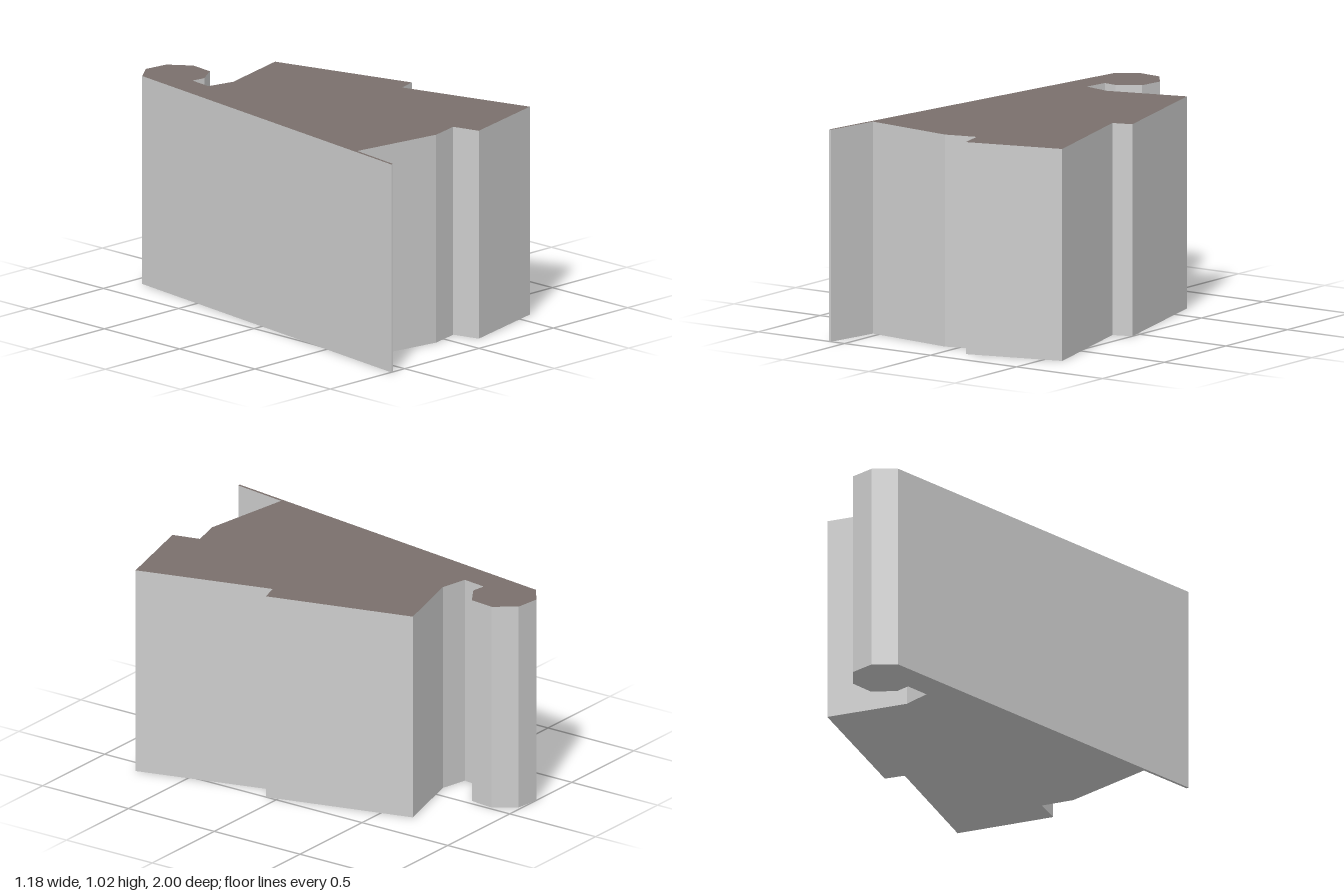
import * as THREE from 'three';

export function createModel() {
  const wallGrey = new THREE.MeshStandardMaterial({ color: 0xcccccc });
  wallGrey.name = 'wallGrey';
  const roofBrown = new THREE.MeshStandardMaterial({ color: 0x7a706c });
  roofBrown.name = 'roofBrown';

  const height = 1.02;
  // Footprint corners as [x, z], starting at the tip of the thin front fin
  const footprint = [
    [-0.59, 1.0], [-0.577, 1.0], [-0.535, 0.72],             // thin fin
    [-0.07, 0.785], [0.085, 0.745], [0.12, 0.88],            // front wall
    [0.59, 0.755], [0.405, 0.09], [0.5, 0.06],               // stepped left wall
    [0.305, -0.655], [-0.085, -0.548], [-0.222, -0.578],     // back wall
    [-0.205, -0.7], [-0.135, -0.69], [-0.03, -0.757],        // neck and turret
    [-0.015, -0.882], [-0.092, -0.985], [-0.215, -1.0], [-0.315, -0.925],
  ];
  const shape = new THREE.Shape(footprint.map(([x, z]) => new THREE.Vector2(x, -z)));
  const geometry = new THREE.ExtrudeGeometry(shape, { depth: height, bevelEnabled: false });
  geometry.rotateX(-Math.PI / 2);

  // Caps come first: underside, then roof, followed by the walls
  const total = geometry.attributes.position.count;
  const cap = geometry.groups[0].count / 2;
  geometry.clearGroups();
  geometry.addGroup(0, cap, 0);
  geometry.addGroup(cap, cap, 1);
  geometry.addGroup(cap * 2, total - cap * 2, 0);

  const building = new THREE.Mesh(geometry, [wallGrey, roofBrown]);
  building.name = 'building';
  const model = new THREE.Group();
  model.name = 'buildingBlock';
  model.add(building);
  return model;
}
